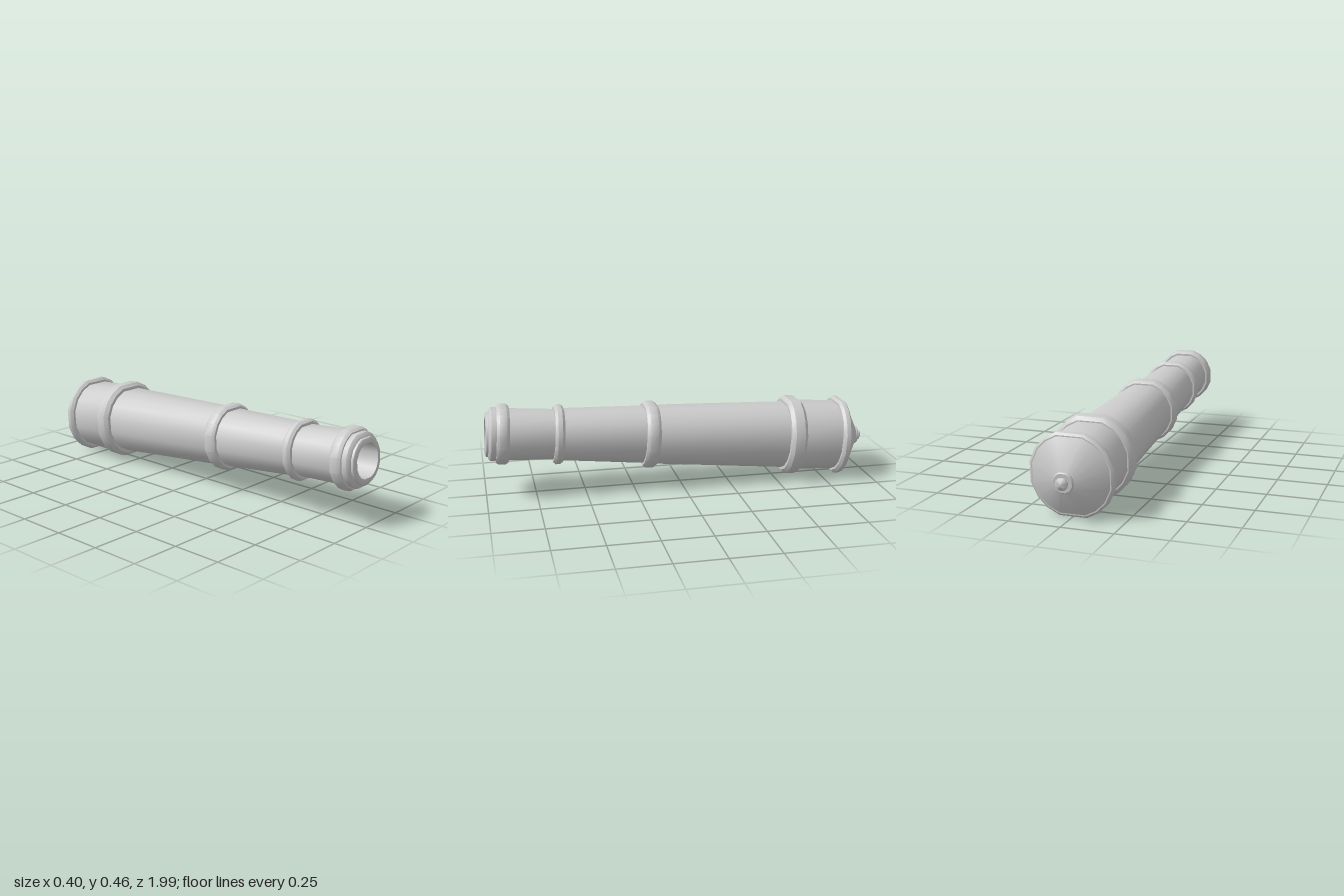
import * as THREE from 'three';
import { toCreasedNormals } from 'three/addons/utils/BufferGeometryUtils.js';

// Corner angles of the sixteen-sided section, counter-clockwise from the bottom
const quarter = [14, 35.5, 53.5, 71.5];
const right = [...quarter.map(a => -a).reverse(), ...quarter];
const angles = [...right, ...right.map(a => a + 180)].map(THREE.MathUtils.degToRad);

const material = new THREE.MeshStandardMaterial({ color: 0xcccccc, side: THREE.DoubleSide });

// Turned part along z from a [z, radius] profile, rear to front on the outside
function turned(name, profile) {
  const n = profile.length;
  const geo = new THREE.LatheGeometry(profile.map(([z, r]) => new THREE.Vector2(r, z)), 16);
  const pos = geo.attributes.position;
  for (let i = 0; i < pos.count; i++) {
    const [z, r] = profile[i % n];
    const a = angles[Math.floor(i / n) % 16];
    pos.setXYZ(i, r * Math.cos(a), r * Math.sin(a), z);
  }
  const mesh = new THREE.Mesh(toCreasedNormals(geo, 0.68), material);
  mesh.name = name;
  return mesh;
}

// Bevelled band: flat middle of radius r, sloping down to the barrel at both ends
function band(name, z0, z1, r, inner, bevel) {
  return turned(name, [
    [z0, inner - 0.01], [z0, inner + 0.012], [z0 + bevel, r],
    [z1 - bevel, r], [z1, inner + 0.012], [z1, inner - 0.01],
  ]);
}

export function createModel() {
  const model = new THREE.Group();
  model.name = 'cannonBarrel';
  const barrel = new THREE.Group();
  barrel.name = 'tiltedBarrel';

  barrel.add(
    // Tapering tube in stepped sections
    turned('breechSection', [[-0.85, 0.182], [-0.6, 0.184]]),
    turned('reinforceSection', [[-0.6, 0.176], [0.16, 0.151]]),
    turned('chaseSection', [[0.16, 0.149], [0.63, 0.131]]),
    turned('neckSection', [[0.63, 0.127], [0.91, 0.13]]),

    // Raised bands
    band('breechBand', -0.635, -0.55, 0.207, 0.178, 0.018),
    band('middleBand', 0.128, 0.198, 0.172, 0.148, 0.015),
    band('chaseBand', 0.607, 0.655, 0.152, 0.129, 0.013),
    band('muzzleBand', 0.877, 0.94, 0.152, 0.129, 0.014),

    // Rear rim with its conical cap
    turned('rearRim', [[-0.875, 0.18], [-0.875, 0.196], [-0.866, 0.207], [-0.845, 0.207], [-0.832, 0.194], [-0.832, 0.175]]),
    turned('rearCap', [[-0.96, 0], [-0.957, 0.05], [-0.875, 0.19]]),
    turned('knobCollar', [[-0.97, 0], [-0.97, 0.046], [-0.966, 0.05], [-0.95, 0.05]]),
    turned('rearKnob', [[-0.999, 0], [-0.996, 0.012], [-0.985, 0.029], [-0.974, 0.029], [-0.962, 0.02]]),

    // Stepped muzzle lip and the hollow bore
    turned('muzzleLip', [
      [0.935, 0.125], [0.94, 0.134], [0.965, 0.134], [0.975, 0.124],
      [0.978, 0.114], [0.988, 0.112], [0.993, 0.103], [0.993, 0.086],
    ]),
    turned('bore', [[0.993, 0.086], [-0.17, 0.086], [-0.19, 0]]),
  );

  // Muzzle raised slightly
  barrel.rotation.x = -Math.atan(0.0686);
  barrel.position.y = 0.257;
  model.add(barrel);
  return model;
}
